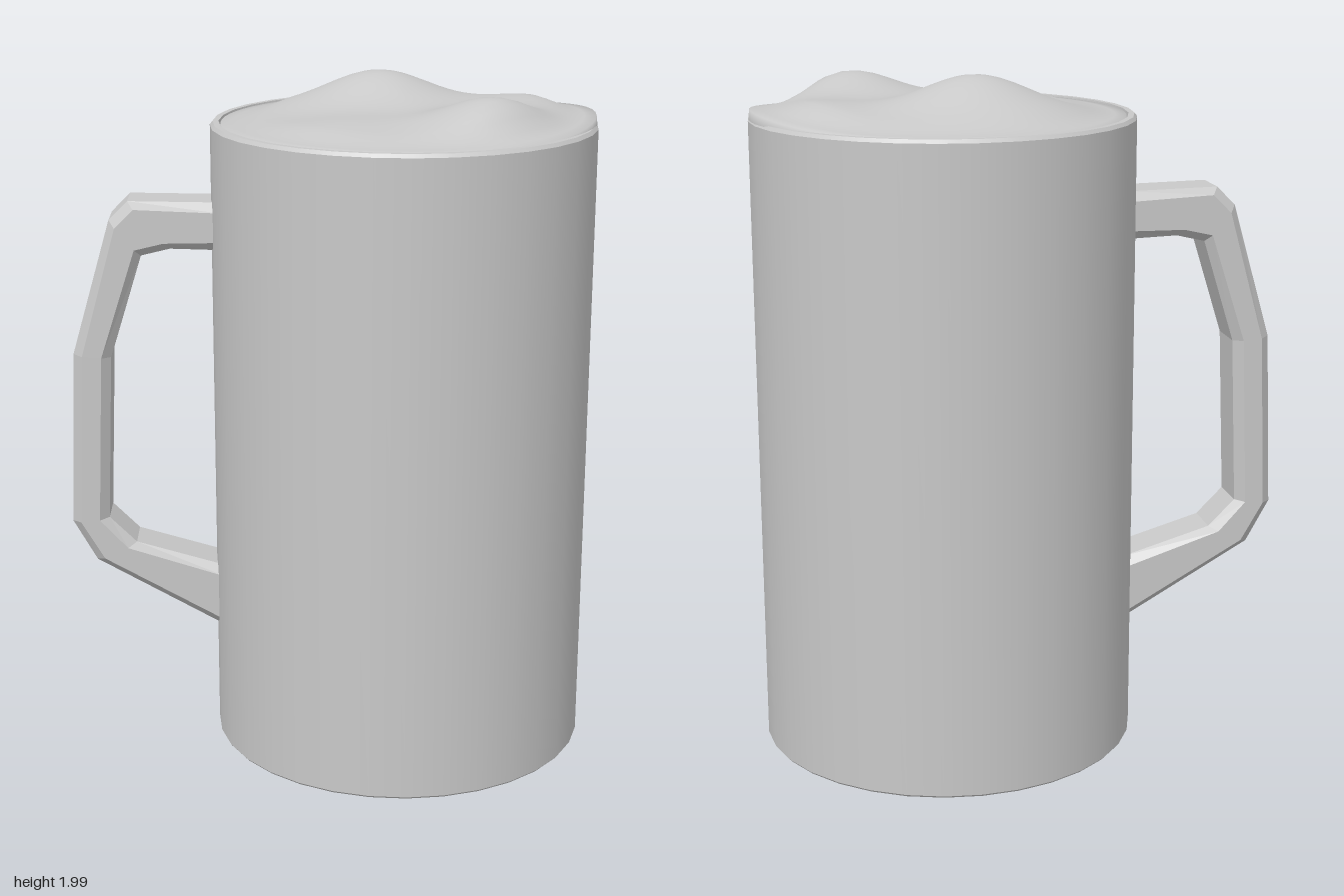
import * as THREE from 'three';

const CX = 0.215, R = 0.555, SIDES = 32, RIM = 1.87;

// Tall mug body: each profile piece is its own lathe so the edges stay crisp
function buildMug(mat) {
  const mug = new THREE.Group();
  mug.name = 'mug';
  const pieces = {
    base: [[0, 0], [R - 0.005, 0]],
    baseEdge: [[R - 0.005, 0], [R, 0.006]],
    wall: [[R, 0.006], [R, RIM - 0.01]],
    rimEdge: [[R, RIM - 0.01], [R - 0.008, RIM]],
    rim: [[R - 0.008, RIM], [0.53, RIM]],
    rimInside: [[0.53, RIM], [0.52, 1.82]],
  };
  for (const [name, pts] of Object.entries(pieces)) {
    const geo = new THREE.LatheGeometry(pts.map(p => new THREE.Vector2(...p)), SIDES);
    const mesh = new THREE.Mesh(geo, mat);
    mesh.name = name;
    mug.add(mesh);
  }
  mug.position.x = CX;
  return mug;
}

// Foam: soft bumps on a round polar grid, spilling over the rim towards +x
function buildFoam(mat) {
  // x, z, height, spread in x, spread in z
  const bumps = [
    [0.15, -0.15, 0.115, 0.16, 0.13],
    [0.44, 0.24, 0.09, 0.13, 0.12],
    [0.58, -0.12, 0.035, 0.12, 0.14],
    [0.05, 0.22, 0.025, 0.14, 0.12],
  ];
  const rings = 16, n = 64, pos = [], index = [];
  const id = (j, k) => (j ? 1 + (j - 1) * n + (k % n) : 0);
  for (let j = 0; j <= rings + 1; j++) {
    for (let k = 0; k < (j ? n : 1); k++) {
      const a = (k / n) * Math.PI * 2;
      const spill = Math.max(0, Math.cos(a + 0.05)) ** 6;
      const edge = 0.524 + 0.026 * spill;
      const t = Math.min(j / rings, 1);
      const r = edge * t + (j > rings ? 0.003 : 0);
      const x = CX + r * Math.cos(a), z = r * Math.sin(a);
      const fade = 1 - THREE.MathUtils.smoothstep(t, 0.72, 1);
      let y = 1.866 + 0.012 * fade + 0.026 * spill * t ** 3;
      for (const [bx, bz, h, sx, sz] of bumps) {
        y += fade * h * Math.exp(-(((x - bx) / sx) ** 2 + ((z - bz) / sz) ** 2) / 2);
      }
      if (j > rings) y = 1.845 + 0.02 * spill;
      pos.push(x, y, z);
    }
  }
  for (let j = 0; j <= rings; j++) {
    for (let k = 0; k < n; k++) {
      if (j) index.push(id(j, k), id(j, k + 1), id(j + 1, k));
      index.push(id(j, k + 1), id(j + 1, k + 1), id(j + 1, k));
    }
  }
  const geo = new THREE.BufferGeometry();
  geo.setAttribute('position', new THREE.Float32BufferAttribute(pos, 3));
  geo.setIndex(index);
  geo.computeVertexNormals();
  const foam = new THREE.Mesh(geo, mat);
  foam.name = 'foam';
  return foam;
}

// Handle: chamfered rectangle lofted between outer and inner outline points
function buildHandle(mat) {
  // outer x, outer y, inner x, inner y
  const stations = [
    [-0.31, 1.64, -0.31, 1.5],
    [-0.58, 1.645, -0.46, 1.505],
    [-0.635, 1.59, -0.545, 1.485],
    [-0.75, 1.19, -0.64, 1.18],
    [-0.77, 0.67, -0.66, 0.68],
    [-0.70, 0.545, -0.58, 0.6],
    [-0.31, 0.323, -0.31, 0.521],
  ];
  const half = 0.09, c = 0.027, cz = -0.025;
  const sections = stations.map(([ox, oy, ix, iy]) => {
    const f = c / Math.hypot(ox - ix, oy - iy);
    // fraction from outer to inner, sideways offset
    const ring = [
      [0, half - c], [f, half], [1 - f, half], [1, half - c],
      [1, c - half], [1 - f, -half], [f, -half], [0, c - half],
    ];
    return ring.map(([t, w]) => [ox + (ix - ox) * t, oy + (iy - oy) * t, cz + w]);
  });
  const pos = [];
  for (let s = 0; s < sections.length - 1; s++) {
    const a = sections[s], b = sections[s + 1];
    for (let k = 0; k < 8; k++) {
      const m = (k + 1) % 8;
      pos.push(...a[k], ...b[k], ...a[m], ...b[k], ...b[m], ...a[m]);
    }
  }
  const geo = new THREE.BufferGeometry();
  geo.setAttribute('position', new THREE.Float32BufferAttribute(pos, 3));
  geo.computeVertexNormals();
  const handle = new THREE.Mesh(geo, mat);
  handle.name = 'handle';
  return handle;
}

export function createModel() {
  const grey = new THREE.MeshStandardMaterial({ color: 0xc8c8c8 });
  grey.name = 'light grey';
  const model = new THREE.Group();
  model.name = 'foamingMug';
  model.add(buildMug(grey), buildFoam(grey), buildHandle(grey));
  return model;
}
